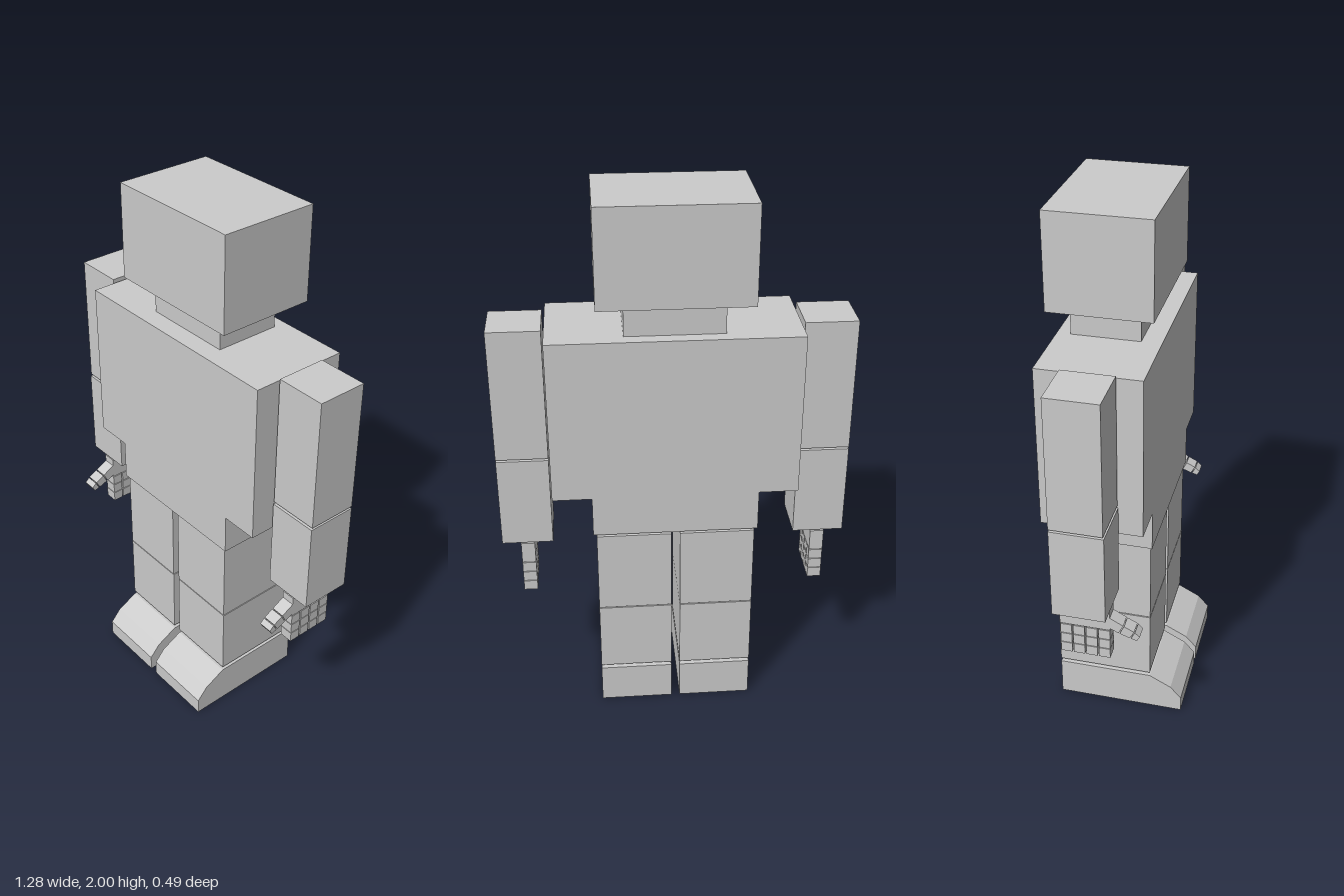
import * as THREE from 'three';

const material = new THREE.MeshStandardMaterial({ color: 0xcccccc, flatShading: true });

function add(parent, name, geometry) {
  const mesh = new THREE.Mesh(geometry, material);
  mesh.name = name;
  parent.add(mesh);
}

// Block given by its limits on each axis
function block(parent, name, [x0, x1], [y0, y1], [z0, z1]) {
  const geometry = new THREE.BoxGeometry(x1 - x0, y1 - y0, z1 - z0);
  geometry.translate((x0 + x1) / 2, (y0 + y1) / 2, (z0 + z1) / 2);
  add(parent, name, geometry);
}

// Side profile of [z, y] points, extruded across x
function profile(parent, name, [x0, x1], points) {
  const shape = new THREE.Shape(points.map(([z, y]) => new THREE.Vector2(z, y)));
  const geometry = new THREE.ExtrudeGeometry(shape, { depth: x1 - x0, bevelEnabled: false });
  geometry.rotateY(-Math.PI / 2).translate(x1, 0, 0);
  add(parent, name, geometry);
}

function makeLeg(side) {
  const leg = new THREE.Group();
  leg.name = side + 'Leg';
  const x = [0.016, 0.288], z = [-0.236, 0.122];
  block(leg, 'thigh', x, [0.448, 0.768], z);
  block(leg, 'shin', x, [0.169, 0.444], z);
  profile(leg, 'foot', x, [[-0.236, 0], [0.247, 0], [0.247, 0.063], [0.205, 0.11], [0.122, 0.153], [-0.236, 0.153]]);
  return leg;
}

function makeHand() {
  const hand = new THREE.Group();
  hand.name = 'hand';
  const x = [0.519, 0.57];
  block(hand, 'palm', x, [0.604, 0.688], [-0.14, 0.042]);

  // Four fingers of three joints each
  for (let finger = 0; finger < 4; finger++) {
    const front = 0.042 - finger * 0.0465;
    for (let joint = 0; joint < 3; joint++) {
      const top = 0.6 - joint * 0.042;
      block(hand, 'fingerJoint', x, [top - 0.039, top], [front - 0.041, front]);
    }
  }

  // Thumb base and two tapering joints
  profile(hand, 'thumbBase', x, [[0.04, 0.613], [0.073, 0.598], [0.09, 0.633], [0.04, 0.66]]);
  profile(hand, 'thumbJoint', x, [[0.077, 0.597], [0.113, 0.583], [0.129, 0.613], [0.093, 0.631]]);
  profile(hand, 'thumbTip', x, [[0.117, 0.582], [0.139, 0.576], [0.149, 0.594], [0.132, 0.611]]);
  return hand;
}

function makeArm(side) {
  const arm = new THREE.Group();
  arm.name = side + 'Arm';
  const x = [0.45, 0.638];
  block(arm, 'upperArm', x, [1.052, 1.546], [-0.145, 0.042]);
  block(arm, 'forearm', x, [0.697, 1.044], [-0.145, 0.045]);
  arm.add(makeHand());
  return arm;
}

// Mirrored copy that keeps the faces outward
function mirrored(group) {
  group.traverse((part) => {
    if (!part.isMesh) return;
    const geometry = part.geometry.index ? part.geometry.toNonIndexed() : part.geometry;
    geometry.scale(-1, 1, 1);
    const p = geometry.attributes.position;
    const a = new THREE.Vector3(), b = new THREE.Vector3();
    for (let i = 0; i < p.count; i += 3) {
      a.fromBufferAttribute(p, i + 1);
      b.fromBufferAttribute(p, i + 2);
      p.setXYZ(i + 1, b.x, b.y, b.z);
      p.setXYZ(i + 2, a.x, a.y, a.z);
    }
    geometry.computeVertexNormals();
    part.geometry = geometry;
  });
  return group;
}

export function createModel() {
  const model = new THREE.Group();
  model.name = 'blockFigure';

  // Head and trunk
  block(model, 'head', [-0.267, 0.267], [1.652, 2], [-0.247, 0.122]);
  block(model, 'neck', [-0.174, 0.174], [1.535, 1.652], [-0.188, 0.058]);
  block(model, 'torso', [-0.442, 0.442], [0.931, 1.535], [-0.237, 0.13]);
  block(model, 'pelvis', [-0.3, 0.3], [0.777, 0.931], [-0.237, 0.13]);

  // Limbs
  model.add(makeLeg('left'), mirrored(makeLeg('right')));
  model.add(makeArm('left'), mirrored(makeArm('right')));
  return model;
}
